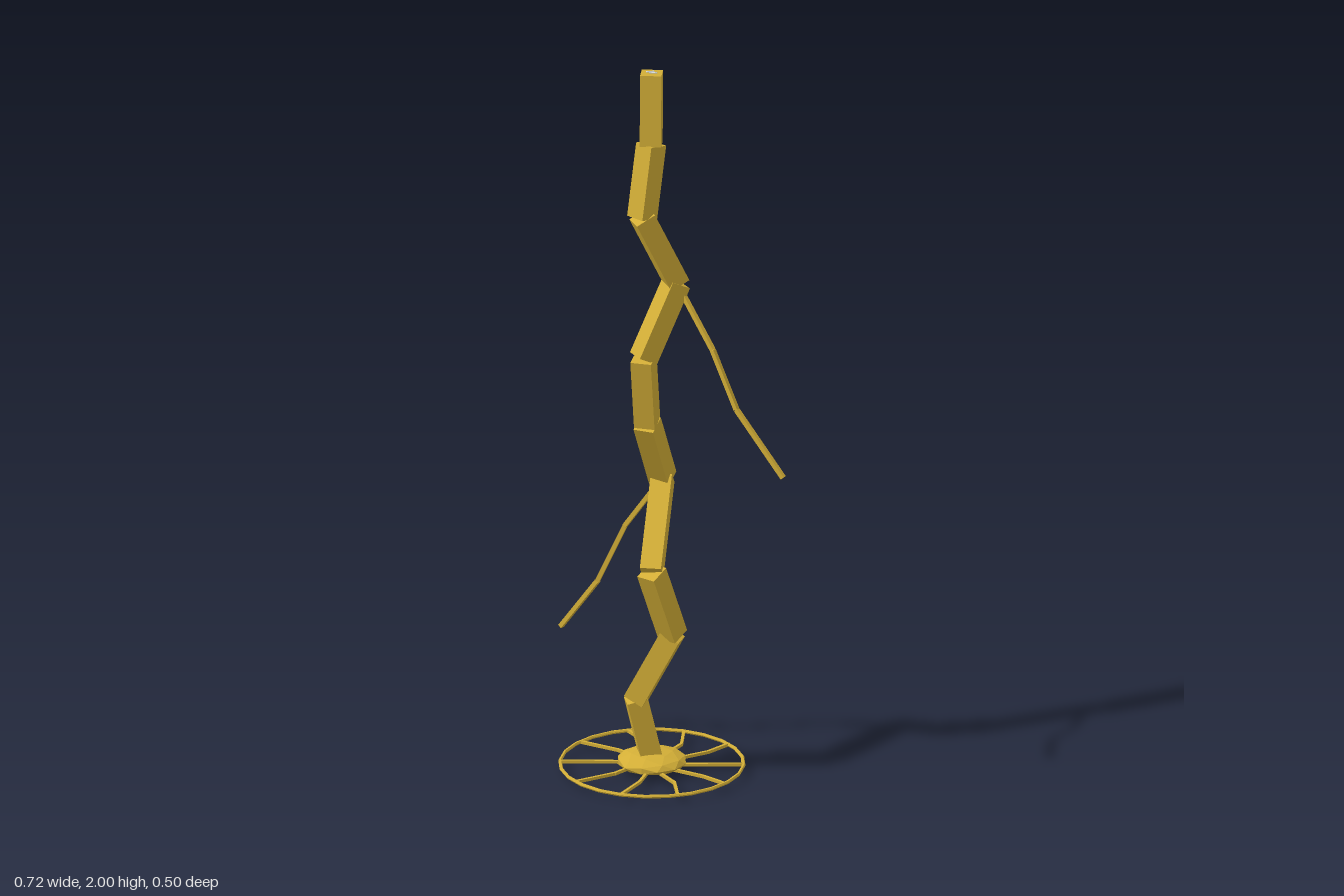
import * as THREE from 'three';

export function createModel() {
  const model = new THREE.Group();
  const gold = new THREE.MeshStandardMaterial({ color: 0xd4af37, flatShading: true });
  gold.name = 'gold';
  const pale = new THREE.MeshStandardMaterial({ color: 0xd4d8d8, flatShading: true });
  pale.name = 'pale';
  const V = (p) => new THREE.Vector3(...p);

  // Chain of square bars through a list of points
  function barChain(name, points, width, material = gold) {
    const group = new THREE.Group();
    group.name = name;
    for (let i = 0; i < points.length - 1; i++) {
      const a = V(points[i]), b = V(points[i + 1]);
      const bar = new THREE.Mesh(new THREE.BoxGeometry(width, width, a.distanceTo(b)), material);
      bar.name = `${name}Segment${i + 1}`;
      bar.position.copy(a).lerp(b, 0.5);
      bar.lookAt(b);
      group.add(bar);
    }
    model.add(group);
    return group;
  }

  // Crooked spine
  barChain('spine', [
    [-0.013, 0.008, -0.005], [-0.037, 0.21, 0.036], [0.05, 0.405, -0.018],
    [0.067, 0.61, 0.07], [-0.052, 0.81, -0.07], [-0.01, 1.0, 0.02],
    [0.01, 1.2, 0.05], [0.032, 1.4, -0.047], [0, 1.6, 0.046],
    [-0.003, 1.8, 0.012], [-0.013, 1.998, 0.002],
  ], 0.057);

  // Thin bent arms
  barChain('leftArm', [
    [0.032, 1.4, -0.047], [0.15, 1.235, -0.073], [0.222, 1.08, -0.095], [0.355, 0.912, -0.145],
  ], 0.012);
  barChain('rightArm', [
    [-0.052, 0.81, -0.07], [-0.162, 0.65, -0.033], [-0.23, 0.48, 0.006], [-0.358, 0.317, 0.025],
  ], 0.012);

  // Faceted flat hub
  const cx = -0.014, ringY = 0.022;
  const hub = new THREE.Mesh(new THREE.IcosahedronGeometry(0.095, 1).scale(1, 0.29, 1), gold);
  hub.name = 'hub';
  hub.position.set(cx, 0.031, 0);
  model.add(hub);

  // Base ring
  const ring = new THREE.Mesh(new THREE.TorusGeometry(0.245, 0.005, 6, 24).rotateX(Math.PI / 2), gold);
  ring.name = 'baseRing';
  ring.position.set(cx, ringY, 0);
  model.add(ring);

  // Bent spokes: inner, middle and outer points as x, z
  const spokes = [
    [-0.07, -0.05, -0.13, -0.085, -0.236, -0.104],
    [-0.042, -0.08, -0.065, -0.147, -0.136, -0.216],
    [0.005, -0.07, 0.023, -0.165, 0.015, -0.245],
    [0.04, -0.045, 0.075, -0.085, 0.153, -0.181],
    [0.055, -0.01, 0.15, -0.041, 0.227, -0.05],
    [0.06, 0.033, 0.135, 0.048, 0.21, 0.1],
    [0.035, 0.06, 0.071, 0.115, 0.108, 0.213],
    [-0.025, 0.07, -0.019, 0.125, -0.041, 0.243],
    [-0.06, 0.045, -0.09, 0.075, -0.182, 0.181],
    [-0.08, 0.003, -0.142, 0.008, -0.255, 0.046],
  ];
  spokes.forEach(([ax, az, bx, bz, ex, ez], i) =>
    barChain(`spoke${i + 1}`, [[ax, ringY, az], [bx, ringY, bz], [ex, ringY, ez]], 0.008));

  // Two small slanted marks on the top face
  for (const x of [-0.021, -0.009]) {
    const mark = new THREE.Mesh(new THREE.BoxGeometry(0.005, 0.004, 0.022), pale);
    mark.name = 'topMark';
    mark.position.set(x, 1.998, 0);
    mark.rotation.y = -0.55;
    model.add(mark);
  }
  return model;
}
